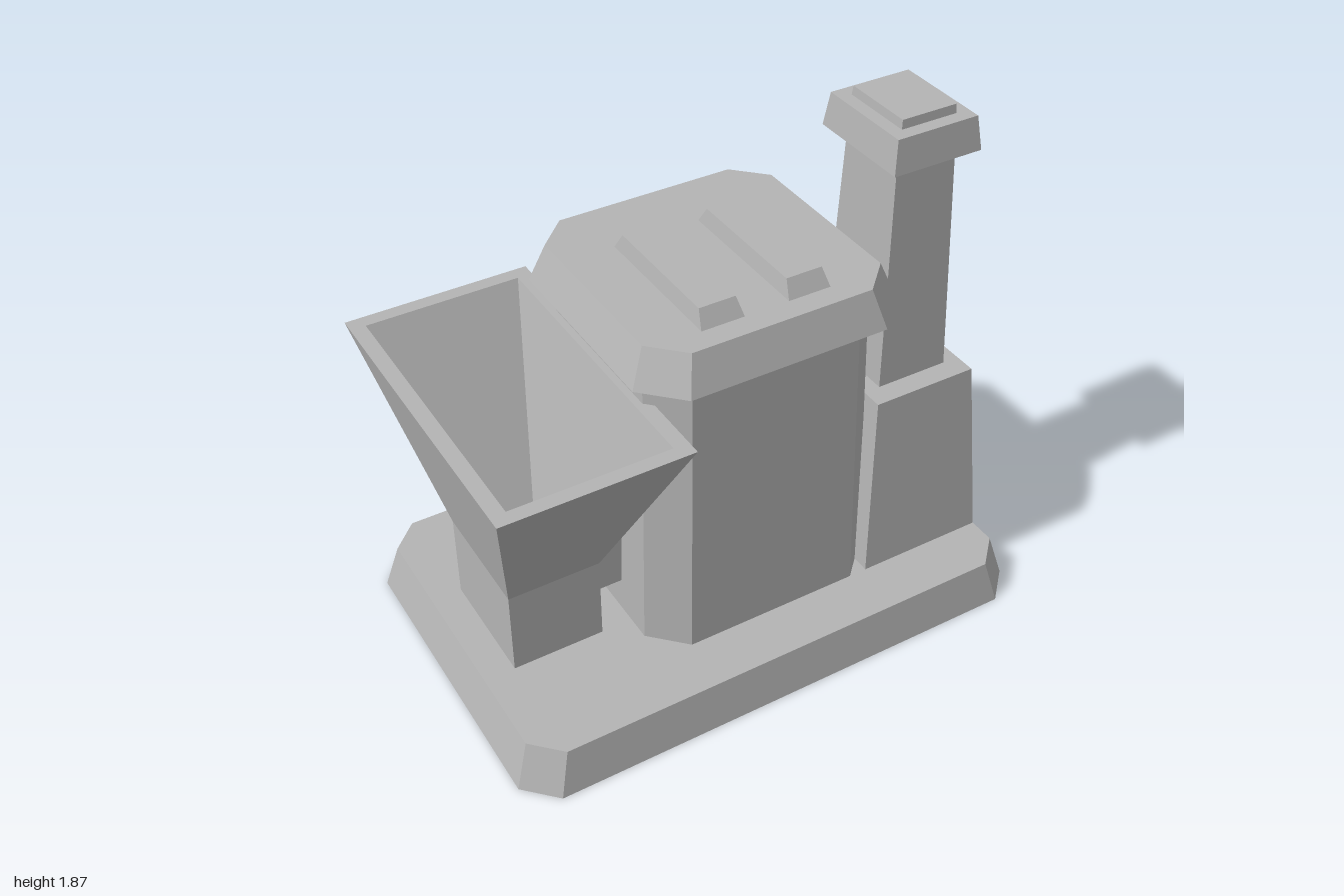
import * as THREE from 'three';

const stone = new THREE.MeshStandardMaterial({ color: 0xb4b4b4 });
stone.name = 'plain grey';

// Rectangle ring at height y, centred on (cx, cz), half sizes hx/hz, corner chamfer c
function ring(y, cx, cz, hx, hz, c = 0) {
  const p = [];
  for (const [sx, sz] of [[1, 1], [1, -1], [-1, -1], [-1, 1]]) {
    const alongX = [cx + sx * (hx - c), y, cz + sz * hz];
    const alongZ = [cx + sx * hx, y, cz + sz * (hz - c)];
    if (!c) p.push(alongX);
    else if (sx === sz) p.push(alongX, alongZ);
    else p.push(alongZ, alongX);
  }
  return p;
}

// Flat-faced solid skinned through a stack of rings, capped at both ends
function loft(name, rings) {
  const pos = [];
  const tri = (a, b, c) => pos.push(...a, ...b, ...c);
  const n = rings[0].length;
  for (let r = 0; r < rings.length - 1; r++) {
    const lo = rings[r], hi = rings[r + 1];
    for (let i = 0; i < n; i++) {
      const j = (i + 1) % n;
      tri(lo[i], lo[j], hi[j]);
      tri(lo[i], hi[j], hi[i]);
    }
  }
  const first = rings[0], last = rings[rings.length - 1];
  for (let i = 1; i < n - 1; i++) {
    tri(first[0], first[i + 1], first[i]);
    tri(last[0], last[i], last[i + 1]);
  }
  const geo = new THREE.BufferGeometry();
  geo.setAttribute('position', new THREE.Float32BufferAttribute(pos, 3));
  geo.computeVertexNormals();
  const mesh = new THREE.Mesh(geo, stone);
  mesh.name = name;
  return mesh;
}

function box(name, x0, x1, y0, y1, z0, z1) {
  const mesh = new THREE.Mesh(new THREE.BoxGeometry(x1 - x0, y1 - y0, z1 - z0), stone);
  mesh.position.set((x0 + x1) / 2, (y0 + y1) / 2, (z0 + z1) / 2);
  mesh.name = name;
  return mesh;
}

export function createModel() {
  const model = new THREE.Group();
  model.name = 'furnace';
  const bx = 0.063; // body centre line

  // Base slab
  model.add(loft('base', [ring(0, 0, 0, 1, 0.665, 0.108), ring(0.17, 0, 0, 0.95, 0.632, 0.1)]));

  // Tapered body and its lid
  model.add(loft('body', [ring(0.17, bx, 0, 0.45, 0.432, 0.12), ring(1.28, bx, 0, 0.425, 0.407, 0.113)]));
  model.add(loft('lid', [ring(1.28, bx, 0, 0.492, 0.484, 0.13), ring(1.415, bx, 0, 0.44, 0.434, 0.11)]));

  // Ribs on the lid
  for (const x of [-0.108, 0.21]) {
    model.add(loft('lidRib', [ring(1.415, x, 0.077, 0.078, 0.276), ring(1.475, x, 0.077, 0.066, 0.24)]));
  }

  // Hopper: foot, flared outside, rim, then the hollow inside
  model.add(loft('hopper', [
    ring(0.17, -0.67, 0, 0.168, 0.22),
    ring(0.495, -0.67, 0, 0.168, 0.22),
    ring(1.17, -0.668, 0, 0.332, 0.585),
    ring(1.17, -0.668, 0, 0.278, 0.533),
    ring(0.5, -0.67, 0, 0.113, 0.167),
  ]));
  model.add(box('hopperDuct', -0.51, -0.36, 0.3, 0.53, -0.15, 0.15));

  // Chimney: shoulder, stack, cap and top slab
  const cx = 0.705, cz = 0.12;
  model.add(loft('chimneyShoulder', [ring(0.17, cx, cz, 0.245, 0.312), ring(0.865, cx, cz, 0.2, 0.25)]));
  model.add(loft('chimneyStack', [ring(0.865, cx, cz, 0.138, 0.17), ring(1.72, cx, cz, 0.115, 0.137)]));
  model.add(loft('chimneyCap', [ring(1.72, cx, cz, 0.17, 0.2), ring(1.84, cx, cz, 0.155, 0.184)]));
  model.add(loft('chimneyTop', [ring(1.84, cx, cz, 0.107, 0.136), ring(1.872, cx, cz, 0.104, 0.133)]));

  // Rails at the back opening
  for (const s of [-1, 1]) {
    const a = bx + s * 0.325, b = bx + s * 0.38;
    model.add(box('backRail', Math.min(a, b), Math.max(a, b), 0.435, 1.015, -0.48, -0.39));
  }

  // Sloping chute with side lips
  const chute = new THREE.Group();
  chute.name = 'chute';
  chute.add(box('chuteFloor', -0.31, 0.31, -0.053, -0.02, -0.4, 0));
  for (const x of [-0.335, 0.31]) chute.add(box('chuteLip', x, x + 0.025, -0.053, 0, -0.4, 0));
  chute.position.set(bx, 0.565, -0.42);
  chute.rotation.x = -0.927;
  model.add(chute);

  return model;
}
